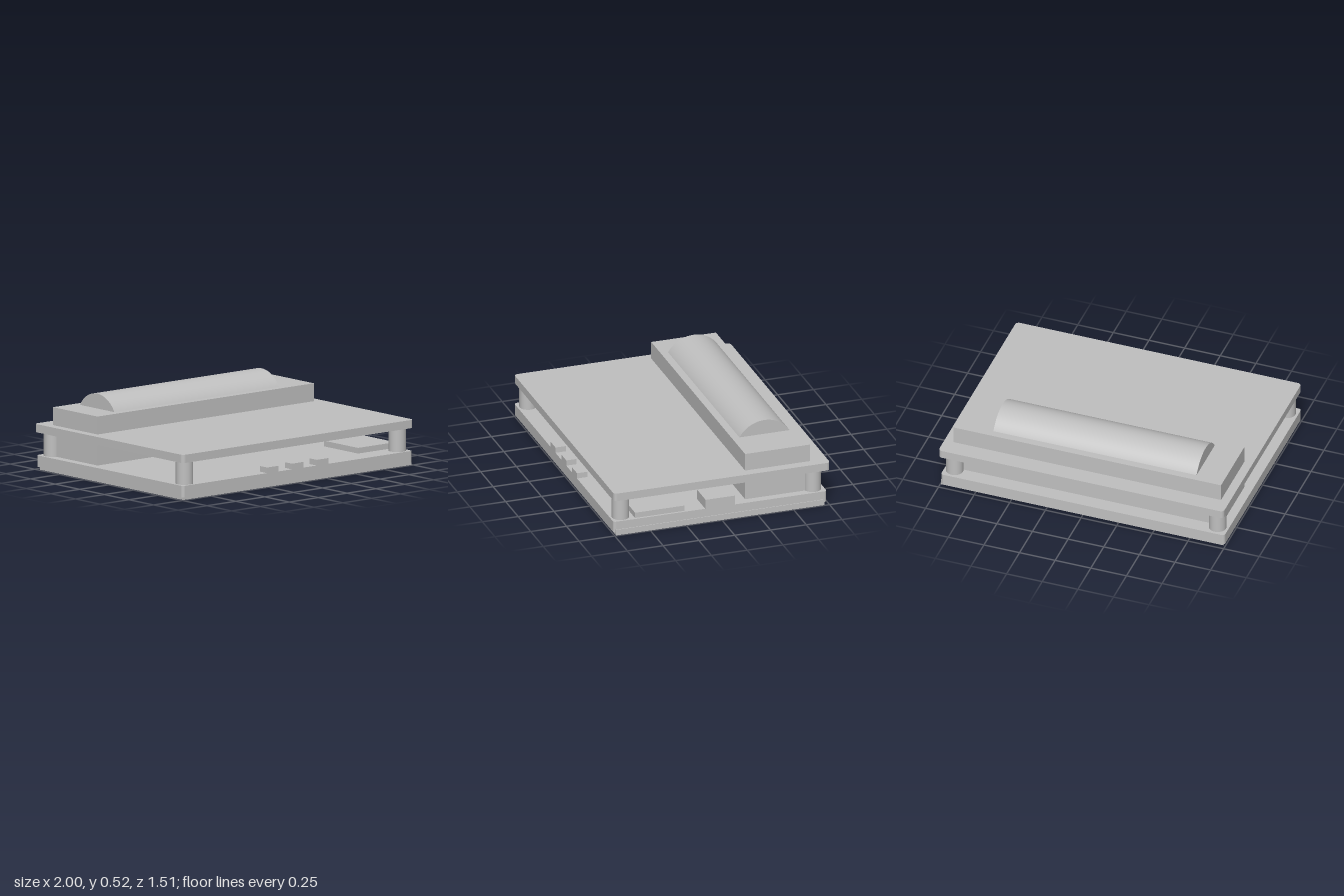
import * as THREE from 'three';

export function createModel() {
  const model = new THREE.Group();
  const grey = new THREE.MeshStandardMaterial({ color: 0xc0c0c0 });
  grey.name = 'plain grey';

  const add = (name, geometry) => {
    const mesh = new THREE.Mesh(geometry, grey);
    mesh.name = name;
    model.add(mesh);
    return mesh;
  };

  // Box given by its limits on each axis
  const block = (name, x0, x1, y0, y1, z0, z1) =>
    add(name, new THREE.BoxGeometry(x1 - x0, y1 - y0, z1 - z0))
      .position.set((x0 + x1) / 2, (y0 + y1) / 2, (z0 + z1) / 2);

  // Flat board with rounded vertical corners
  const board = (name, x0, x1, y0, y1, z0, z1, r) => {
    const s = new THREE.Shape();
    const a = -z1, b = -z0;
    s.moveTo(x0 + r, a);
    s.lineTo(x1 - r, a);
    s.absarc(x1 - r, a + r, r, -Math.PI / 2, 0);
    s.lineTo(x1, b - r);
    s.absarc(x1 - r, b - r, r, 0, Math.PI / 2);
    s.lineTo(x0 + r, b);
    s.absarc(x0 + r, b - r, r, Math.PI / 2, Math.PI);
    s.lineTo(x0, a + r);
    s.absarc(x0 + r, a + r, r, Math.PI, Math.PI * 1.5);
    const g = new THREE.ExtrudeGeometry(s, { depth: y1 - y0, bevelEnabled: false, curveSegments: 6 });
    g.rotateX(-Math.PI / 2);
    g.translate(0, y0, 0);
    add(name, g);
  };

  // Stacked boards
  block('bottomPanel', -0.985, 0.995, 0, 0.04, -0.715, 0.74);
  board('circuitBoard', -1, 0.99, 0.02, 0.097, -0.735, 0.755, 0.02);
  board('topPlate', -1, 1, 0.25, 0.305, -0.755, 0.755, 0.025);

  // Standoffs at the four corners
  for (const x of [-0.925, 0.92]) {
    for (const z of [-0.658, 0.683]) {
      add('standoff', new THREE.CylinderGeometry(0.058, 0.058, 0.153, 40)).position.set(x, 0.1735, z);
    }
  }

  // Battery holder passing through the top plate, and its cell
  block('batteryHolder', -0.94, 0.935, 0.097, 0.425, -0.635, -0.183);
  const cell = new THREE.CylinderGeometry(0.203, 0.203, 1.425, 96);
  cell.rotateZ(Math.PI / 2);
  add('batteryCell', cell).position.set(-0.0375, 0.322, -0.409);

  // Push buttons along the front edge
  for (const x of [-0.22, -0.005, 0.21]) {
    block('button', x - 0.05, x + 0.05, 0.097, 0.135, 0.682, 0.755);
  }

  // Card slot and side connector
  block('cardSlot', 0.65, 0.975, 0.097, 0.135, 0.255, 0.6);
  block('sideConnector', 0.83, 0.998, 0.097, 0.165, -0.09, 0.115);

  return model;
}
